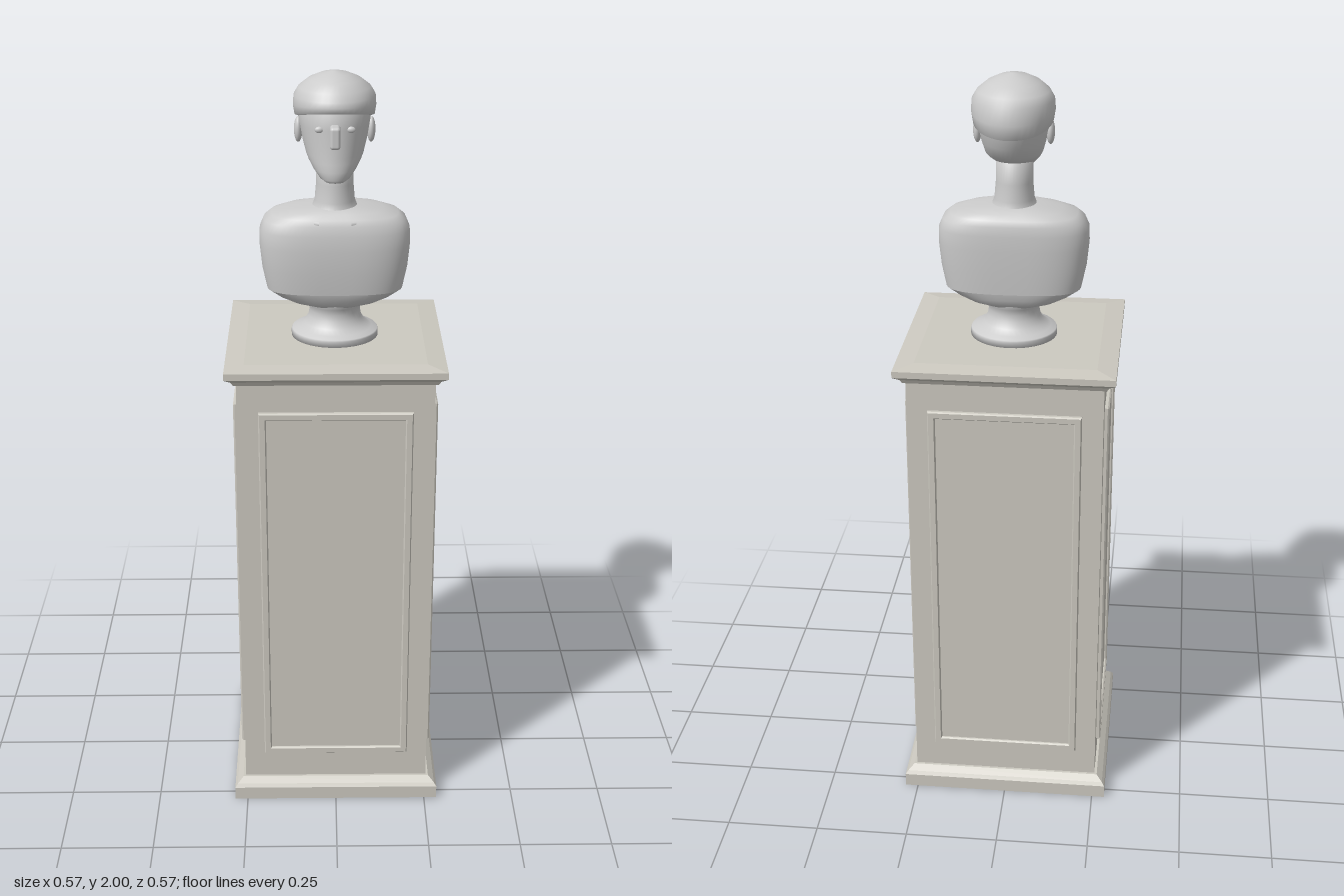
import * as THREE from 'three';
import { RoundedBoxGeometry } from 'three/addons/geometries/RoundedBoxGeometry.js';

const stone = new THREE.MeshStandardMaterial({ color: 0xcccccc });
const warm = new THREE.MeshStandardMaterial({ color: 0xccc9c0 });
const warmFlat = new THREE.MeshStandardMaterial({ color: 0xccc9c0, flatShading: true });

function add(parent, name, geometry, material, x = 0, y = 0, z = 0) {
  const mesh = new THREE.Mesh(geometry, material);
  mesh.name = name;
  mesh.position.set(x, y, z);
  parent.add(mesh);
  return mesh;
}

const points = (list) => list.map(([x, y]) => new THREE.Vector2(x, y));

// Square moulding: a four-sided lathe whose profile gives half widths
function squareLathe(profile) {
  const g = new THREE.LatheGeometry(points(profile.map(([w, y]) => [w * Math.SQRT2, y])), 4);
  return g.rotateY(Math.PI / 4);
}

// Closed loft through superellipse rings, bottom to top.
// Section: [y, front z, back z, half width, tilt]; a repeated section makes a crease.
function loft(sections, power = 2, n = 40) {
  const pos = [], index = [];
  const curve = (v) => Math.sign(v) * Math.abs(v) ** (2 / power);
  for (const [y, zf, zb, rx, tilt = 0] of sections) {
    for (let j = 0; j < n; j++) {
      const a = (j / n) * Math.PI * 2;
      const z = (zf + zb) / 2 + ((zf - zb) / 2) * curve(Math.sin(a));
      pos.push(rx * curve(Math.cos(a)), y + tilt * z, z);
    }
  }
  for (let i = 0; i < sections.length - 1; i++) {
    for (let j = 0; j < n; j++) {
      const a = i * n + j, b = i * n + ((j + 1) % n);
      index.push(a, a + n, b, b, a + n, b + n);
    }
  }
  const last = sections.length - 1, base = sections.length * n;
  for (const i of [0, last]) {
    const [y, zf, zb, , tilt = 0] = sections[i];
    const z = (zf + zb) / 2;
    pos.push(0, y + tilt * z, z);
  }
  for (let j = 0; j < n; j++) {
    const k = (j + 1) % n;
    index.push(base, j, k, base + 1, last * n + k, last * n + j);
  }
  const g = new THREE.BufferGeometry();
  g.setAttribute('position', new THREE.Float32BufferAttribute(pos, 3));
  g.setIndex(index);
  g.computeVertexNormals();
  return g;
}

function rectangle(target, w, h) {
  target.moveTo(-w, -h);
  target.lineTo(w, -h);
  target.lineTo(w, h);
  target.lineTo(-w, h);
  target.closePath();
  return target;
}

function buildPedestal() {
  const pedestal = new THREE.Group();
  pedestal.name = 'pedestal';

  // Plinth, hollow underneath
  add(pedestal, 'plinth', squareLathe([
    [0, 0.05], [0.225, 0.05], [0.225, 0], [0.285, 0], [0.285, 0.037],
    [0.278, 0.046], [0.262, 0.06], [0.25, 0.06],
  ]), warmFlat);
  add(pedestal, 'shaft', new THREE.BoxGeometry(0.51, 1.2, 0.51), warm, 0, 0.66, 0);
  add(pedestal, 'cornice', squareLathe([
    [0.25, 1.255], [0.262, 1.257], [0.268, 1.268], [0.285, 1.28],
    [0.285, 1.297], [0.235, 1.303], [0, 1.303],
  ]), warmFlat);

  // Moulded panel on each of the four faces
  const frame = rectangle(new THREE.Shape(), 0.197, 0.517);
  frame.holes.push(rectangle(new THREE.Path(), 0.183, 0.503));
  const frameGeometry = new THREE.ExtrudeGeometry(frame, {
    depth: 0.008, bevelThickness: 0.004, bevelSize: 0.003, bevelSegments: 1,
  });
  for (let i = 0; i < 4; i++) {
    const side = new THREE.Group();
    side.name = 'sidePanel';
    side.rotation.y = (i * Math.PI) / 2;
    add(side, 'panelMoulding', frameGeometry, warm, 0, 0.66, 0.255);
    add(side, 'panelField', new THREE.BoxGeometry(0.37, 1.01, 0.006), warm, 0, 0.66, 0.256);
    pedestal.add(side);
  }
  return pedestal;
}

function buildBust() {
  const bust = new THREE.Group();
  bust.name = 'bust';

  // Turned foot
  add(bust, 'socle', new THREE.LatheGeometry(points([
    [0, 1.3], [0.115, 1.3], [0.115, 1.318], [0.113, 1.322], [0.098, 1.328], [0.08, 1.34],
    [0.07, 1.358], [0.067, 1.375], [0.07, 1.39], [0.077, 1.402], [0.077, 1.42], [0, 1.42],
  ]), 40), stone);

  // Torso cut off below the chest, neck
  add(bust, 'torso', loft([
    [1.397, 0.07, -0.07, 0.07],
    [1.408, 0.085, -0.083, 0.115],
    [1.424, 0.097, -0.091, 0.15],
    [1.442, 0.102, -0.095, 0.178], [1.442, 0.102, -0.095, 0.178],
    [1.5, 0.109, -0.099, 0.19],
    [1.56, 0.111, -0.101, 0.196],
    [1.6, 0.108, -0.101, 0.195],
    [1.625, 0.102, -0.098, 0.184],
    [1.64, 0.095, -0.092, 0.165],
    [1.652, 0.083, -0.08, 0.125],
    [1.66, 0.07, -0.06, 0.075],
    [1.664, 0.04, -0.03, 0.03],
  ], 3, 56), stone);
  add(bust, 'neck', loft([
    [1.635, 0.085, -0.065, 0.075],
    [1.655, 0.072, -0.054, 0.06],
    [1.675, 0.066, -0.05, 0.052],
    [1.72, 0.063, -0.046, 0.048],
    [1.79, 0.06, -0.042, 0.048],
  ]), stone);

  // Head with the jaw rising towards the nape
  add(bust, 'head', loft([
    [1.737, 0.096, 0.05, 0.024],
    [1.745, 0.103, 0.03, 0.037],
    [1.765, 0.104, -0.015, 0.054],
    [1.785, 0.102, -0.06, 0.067],
    [1.8, 0.101, -0.09, 0.074],
    [1.83, 0.099, -0.108, 0.082],
    [1.87, 0.098, -0.125, 0.09],
    [1.91, 0.097, -0.13, 0.095],
    [1.95, 0.075, -0.11, 0.08],
  ]), stone);
  add(bust, 'hair', loft([
    [1.888, 0.094, -0.122, 0.09, 0.25],
    [1.892, 0.102, -0.139, 0.102, 0.22],
    [1.915, 0.104, -0.144, 0.106, 0.12],
    [1.94, 0.099, -0.138, 0.104],
    [1.96, 0.087, -0.122, 0.092],
    [1.98, 0.064, -0.09, 0.067],
    [1.993, 0.034, -0.054, 0.038],
    [2.0, 0.0, -0.02, 0.008],
  ]), stone);

  // Face
  add(bust, 'nose', new RoundedBoxGeometry(0.026, 0.056, 0.045, 3, 0.008), stone, 0, 1.858, 0.109);
  for (const s of [1, -1]) {
    const eye = add(bust, 'eye', new THREE.SphereGeometry(1, 16, 10), stone, s * 0.04, 1.872, 0.088);
    eye.scale.set(0.011, 0.008, 0.006);
    const ear = add(bust, 'ear', new THREE.SphereGeometry(1, 18, 12), stone, s * 0.093, 1.853, -0.005);
    ear.scale.set(0.011, 0.033, 0.018);

    // Collarbone ridge
    const path = new THREE.CatmullRomCurve3([
      new THREE.Vector3(s * 0.143, 1.627, 0.064),
      new THREE.Vector3(s * 0.12, 1.632, 0.073),
      new THREE.Vector3(s * 0.08, 1.632, 0.084),
      new THREE.Vector3(s * 0.04, 1.63, 0.093),
    ]);
    add(bust, 'collarbone', new THREE.TubeGeometry(path, 16, 0.008, 8), stone);
  }
  return bust;
}

export function createModel() {
  const model = new THREE.Group();
  model.name = 'bustOnPedestal';
  model.add(buildPedestal(), buildBust());
  return model;
}
